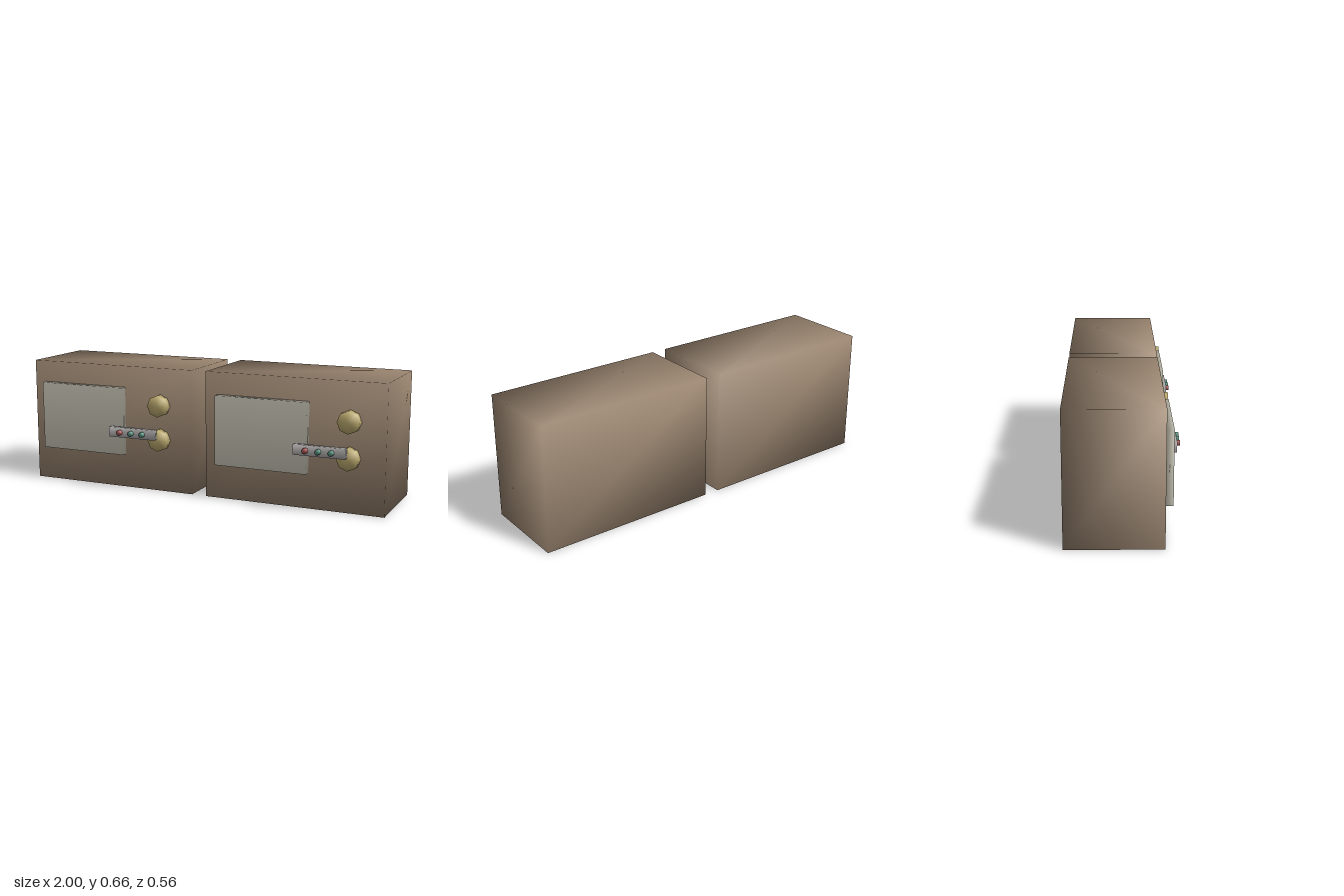
import * as THREE from 'three';
import { mergeVertices } from 'three/addons/utils/BufferGeometryUtils.js';

const mat = (color) => new THREE.MeshStandardMaterial({ color });
const wood = mat(0xa08a74);
const glass = mat(0xcfccbc);
const brass = mat(0xc4b274);
const metal = mat(0xb8b4b4);
const red = mat(0xb05a5a);
const green = mat(0x5a9482);

// Weld corners so the normals run smoothly around every edge
function weld(geometry) {
  geometry.deleteAttribute('normal');
  geometry.deleteAttribute('uv');
  const welded = mergeVertices(geometry, 1e-5);
  welded.computeVertexNormals();
  return welded;
}

function part(parent, name, geometry, material, x, y, z) {
  const mesh = new THREE.Mesh(weld(geometry), material);
  mesh.name = name;
  mesh.position.set(x, y, z);
  parent.add(mesh);
}

// Eight-sided disc facing forwards
const disc = (radius, depth) =>
  new THREE.CylinderGeometry(radius, radius, depth, 8).rotateX(Math.PI / 2);

function createUnit(name) {
  const unit = new THREE.Group();
  unit.name = name;

  part(unit, 'cabinet', new THREE.BoxGeometry(0.96, 0.664, 0.466), wood, 0, 0.332, -0.048);
  part(unit, 'screen', new THREE.BoxGeometry(0.497, 0.365, 0.04), glass, -0.164, 0.366, 0.203);

  // Two round dials, one above the other
  for (const [dial, y] of [['upperDial', 0.466], ['lowerDial', 0.282]]) {
    part(unit, dial, disc(0.058, 0.041), brass, 0.298, y, 0.21);
  }

  // Button bar standing clear of the front
  part(unit, 'buttonBar', new THREE.BoxGeometry(0.27, 0.053, 0.029), metal, 0.163, 0.317, 0.251);
  [red, green, green].forEach((material, i) =>
    part(unit, 'button' + (i + 1), disc(0.0145, 0.02), material, 0.095 + i * 0.067, 0.317, 0.273));

  return unit;
}

export function createModel() {
  const model = new THREE.Group();
  model.name = 'screenCabinets';
  for (const [name, x] of [['rightUnit', -0.52], ['leftUnit', 0.52]]) {
    const unit = createUnit(name);
    unit.position.x = x;
    model.add(unit);
  }
  return model;
}
